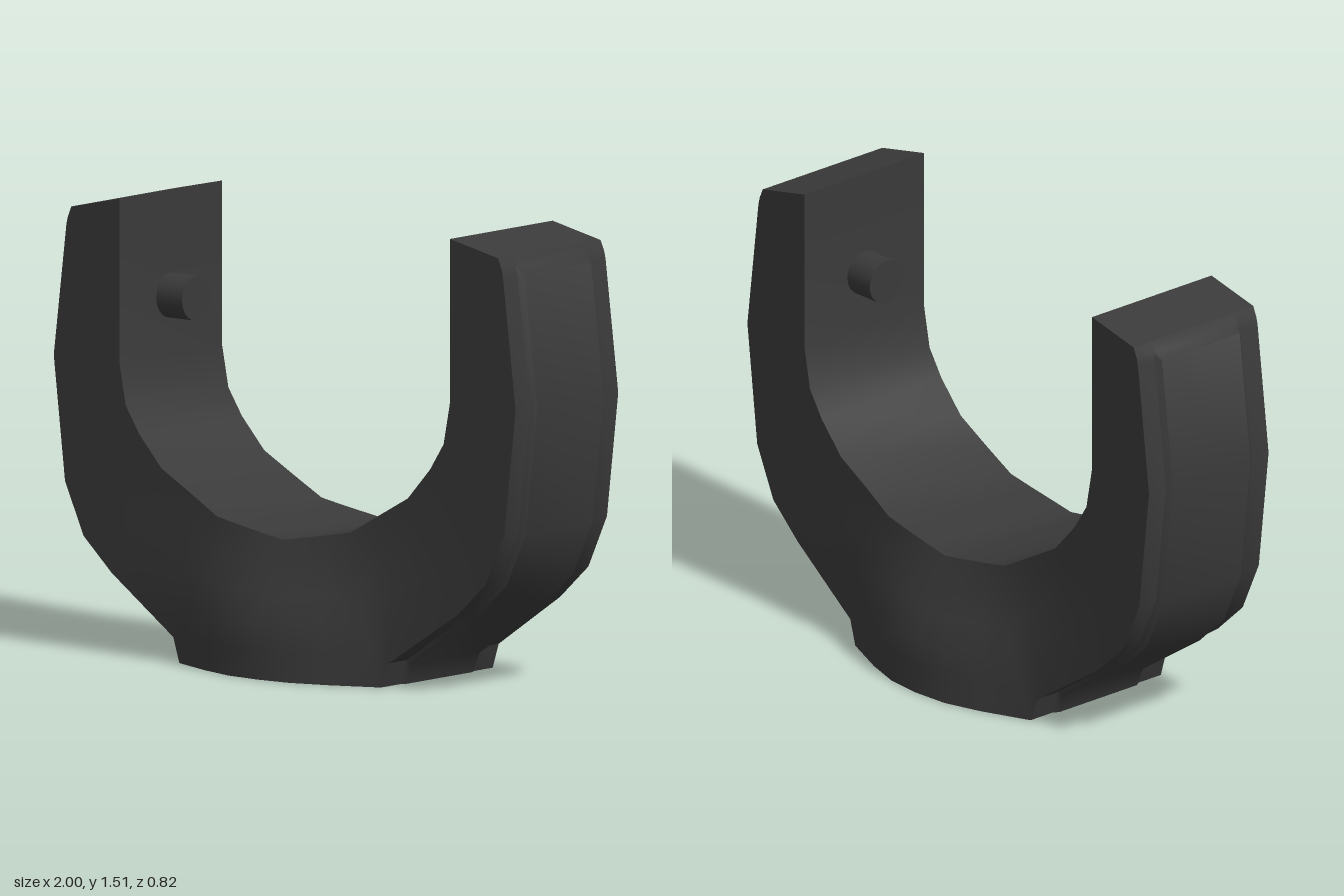
import * as THREE from 'three';
import { toCreasedNormals } from 'three/addons/utils/BufferGeometryUtils.js';

const material = new THREE.MeshStandardMaterial({ color: 0x3a3a3a });

// Piecewise linear lookup in a list of [position, value]
function ramp(table, p) {
  for (let i = 1; i < table.length; i++) {
    const [p0, v0] = table[i - 1], [p1, v1] = table[i];
    if (p <= p1) return v0 + (v1 - v0) * (p - p0) / (p1 - p0);
  }
  return table[table.length - 1][1];
}

// Half depth of the yoke: constant on the arms, swelling towards the foot
const SWELL_X = [[0, 0.145], [0.13, 0.135], [0.26, 0.095], [0.42, 0.025], [0.52, 0.01], [0.7, 0]];
const SWELL_Y = [[0, 1], [0.18, 0.93], [0.44, 0.1], [0.63, 0]];
const halfDepth = (x, y) => 0.265 + ramp(SWELL_X, Math.abs(x)) * ramp(SWELL_Y, y);

// Stations from arm tip to middle: inner x, y, rim x, y, raised panel x, y
const STATIONS = [
  [0.705, 1.515, 0.91, 1.47, 0.91, 1.47],
  [0.705, 1.42, 0.925, 1.435, 0.925, 1.435],
  [0.705, 1.4, 0.931, 1.41, 0.946, 1.41],
  [0.705, 0.97, 0.985, 0.97, 1.0, 0.97],
  [0.678, 0.83, 0.937, 0.555, 0.952, 0.545],
  [0.62, 0.74, 0.858, 0.38, 0.87, 0.367],
  [0.525, 0.635, 0.738, 0.268, 0.748, 0.253],
  [0.4, 0.565, 0.46, 0.083, 0.472, 0.068],
  [0.285, 0.5, 0.43, 0, 0.442, 0],
  [0.19, 0.482, 0.26, 0, 0.26, 0],
  [0.095, 0.466, 0.13, 0, 0.13, 0],
  [0, 0.45, 0, 0, 0, 0],
];

// Closed cross-section: front face, rim, panel, then the same on the back
function section([ix, iy, rx, ry, px, py], side) {
  const front = [];
  for (let k = 0; k <= 5; k++) {
    const x = ix + (rx - ix) * k / 5, y = iy + (ry - iy) * k / 5;
    front.push([side * x, y, halfDepth(x, y)]);
  }
  front.push([side * rx, ry, 0.19], [side * px, py, 0.172]);
  const back = front.map(([x, y, z]) => [x, y, -z]).reverse();
  return [...front, ...back];
}

function yokeGeometry() {
  const loops = [
    ...STATIONS.map((s) => section(s, 1)),
    ...STATIONS.slice(0, -1).reverse().map((s) => section(s, -1)),
  ];
  const n = loops[0].length, last = (loops.length - 1) * n;
  const index = [];
  for (let i = 0; i < loops.length - 1; i++) {
    for (let j = 0; j < n; j++) {
      const k = (j + 1) % n;
      const a = i * n + j, b = i * n + k, c = b + n, d = a + n;
      index.push(a, d, c, a, c, b);
    }
  }
  // Arm tips
  for (let j = 1; j < n - 1; j++) {
    index.push(0, j, j + 1, last, last + j + 1, last + j);
  }
  const geometry = new THREE.BufferGeometry();
  geometry.setAttribute('position', new THREE.Float32BufferAttribute(loops.flat(2), 3));
  geometry.setIndex(index);
  return toCreasedNormals(geometry, 0.6);
}

export function createModel() {
  const group = new THREE.Group();
  group.name = 'yokeBracket';

  const yoke = new THREE.Mesh(yokeGeometry(), material);
  yoke.name = 'yoke';
  group.add(yoke);

  // Pivot pins on the inner faces of the arms
  for (const side of [1, -1]) {
    const pin = new THREE.Mesh(new THREE.CylinderGeometry(0.075, 0.075, 0.125, 20), material);
    pin.name = side > 0 ? 'leftPivotPin' : 'rightPivotPin';
    pin.rotation.z = Math.PI / 2;
    pin.position.set(side * 0.6575, 1.165, 0);
    group.add(pin);
  }
  return group;
}
